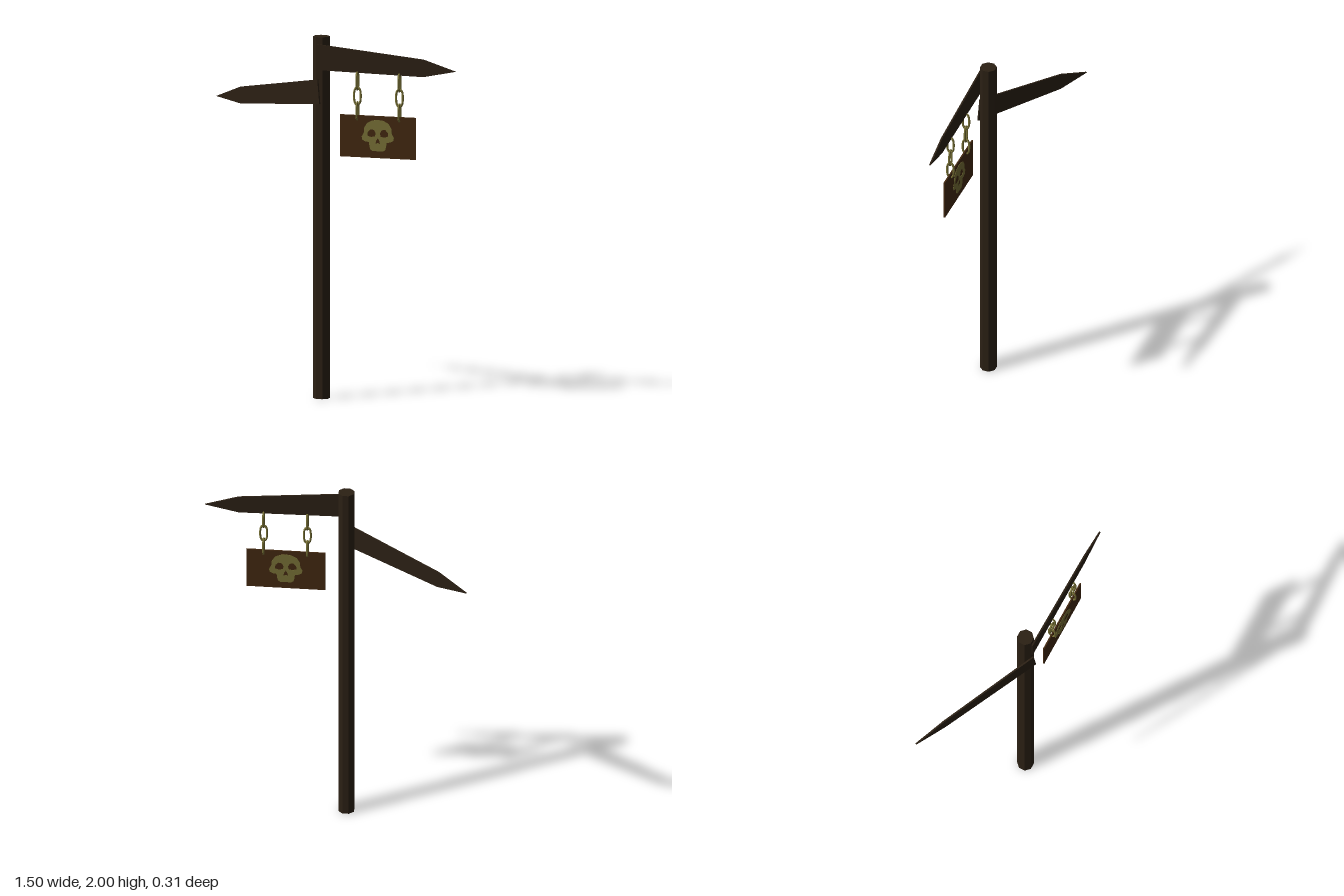
import * as THREE from 'three';

const mat = (color, side = THREE.FrontSide) =>
  new THREE.MeshStandardMaterial({ color, side, flatShading: true });

function shapeOf(points) {
  return new THREE.Shape(points.map(([x, y]) => new THREE.Vector2(x, y)));
}

// Thin flat board, centred on its own plane
function plate(name, shape, depth, material) {
  const geo = new THREE.ExtrudeGeometry(shape, { depth, bevelEnabled: false, curveSegments: 6 });
  geo.translate(0, 0, -depth / 2);
  const mesh = new THREE.Mesh(geo, material);
  mesh.name = name;
  return mesh;
}

// Closed stadium-shaped chain link
class LinkCurve extends THREE.Curve {
  getPoint(t, target = new THREE.Vector3()) {
    const a = t * Math.PI * 2;
    const s = Math.sin(a);
    return target.set(Math.cos(a) * 0.019, s * 0.037 + Math.sign(s) * Math.min(1, Math.abs(s) * 3) * 0.012, 0);
  }
}

// Skull outline with eye and nose openings
function skullShape() {
  const half = [
    [0, 0.087], [0.032, 0.083], [0.062, 0.067], [0.078, 0.04], [0.08, 0.012], [0.092, -0.008],
    [0.088, -0.026], [0.07, -0.035], [0.05, -0.037], [0.048, -0.058], [0.042, -0.078], [0.03, -0.086],
  ];
  const mirrored = half.slice(1).reverse().map(([x, y]) => [-x, y]);
  const skull = shapeOf([...half, ...mirrored]);
  for (const s of [1, -1]) {
    const eye = [[0.012, 0.012], [0.022, 0.031], [0.042, 0.034], [0.057, 0.018], [0.059, -0.002], [0.04, -0.009], [0.017, -0.005]];
    skull.holes.push(new THREE.Path(eye.map(([x, y]) => new THREE.Vector2(x * s, y))));
  }
  const nose = [[0, -0.014], [0.009, -0.028], [0.013, -0.045], [0, -0.04], [-0.013, -0.045], [-0.009, -0.028]];
  skull.holes.push(new THREE.Path(nose.map(([x, y]) => new THREE.Vector2(x, y))));
  return skull;
}

export function createModel() {
  const model = new THREE.Group();
  model.name = 'signpost';
  const wood = mat(0x2b2014);
  const boardWood = mat(0x422810);
  const brass = mat(0x777036);

  // Octagonal post
  const post = new THREE.Mesh(new THREE.CylinderGeometry(0.046, 0.046, 2, 8), wood);
  post.name = 'post';
  post.position.set(0.01, 1, 0.1);
  model.add(post);

  // Left pointer with its hanging sign, turned towards the back
  const leftArm = new THREE.Group();
  leftArm.name = 'leftArm';
  leftArm.position.set(0.015, 0, 0.15);
  leftArm.rotation.y = 0.393;
  model.add(leftArm);
  leftArm.add(plate('leftPointer', shapeOf([
    [0, 1.82], [0.611, 1.81], [0.795, 1.848], [0.611, 1.906], [0, 1.963],
  ]), 0.009, wood));

  // Right pointer, tilted downwards
  const rightPointer = plate('rightPointer', shapeOf([
    [0, 1.635], [-0.015, 1.768], [-0.607, 1.66], [-0.793, 1.587], [-0.602, 1.567],
  ]), 0.009, wood);
  rightPointer.position.set(0.04, 0, 0.151);
  rightPointer.rotation.y = -0.091;
  model.add(rightPointer);

  // Hanging board
  const board = new THREE.Mesh(new THREE.BoxGeometry(0.433, 0.232, 0.008), boardWood);
  board.name = 'hangingBoard';
  board.position.set(0.352, 1.466, 0);
  leftArm.add(board);

  // Skull emblem showing on both faces
  for (const s of [1, -1]) {
    const skull = plate(s > 0 ? 'skullFront' : 'skullBack', skullShape(), 0.002, brass);
    skull.position.set(0.352, 1.474, s * 0.005);
    leftArm.add(skull);
  }

  // Two chains of three links, alternating direction
  const linkGeo = new THREE.TubeGeometry(new LinkCurve(), 20, 0.006, 6, true);
  for (const x of [0.234, 0.474]) {
    const chain = new THREE.Group();
    chain.name = 'chain';
    [1.772, 1.687, 1.604].forEach((y, i) => {
      const link = new THREE.Mesh(linkGeo, brass);
      link.name = 'chainLink';
      link.position.set(x, y, 0);
      link.rotation.y = i === 1 ? 0 : Math.PI / 2;
      chain.add(link);
    });
    leftArm.add(chain);
  }
  return model;
}
